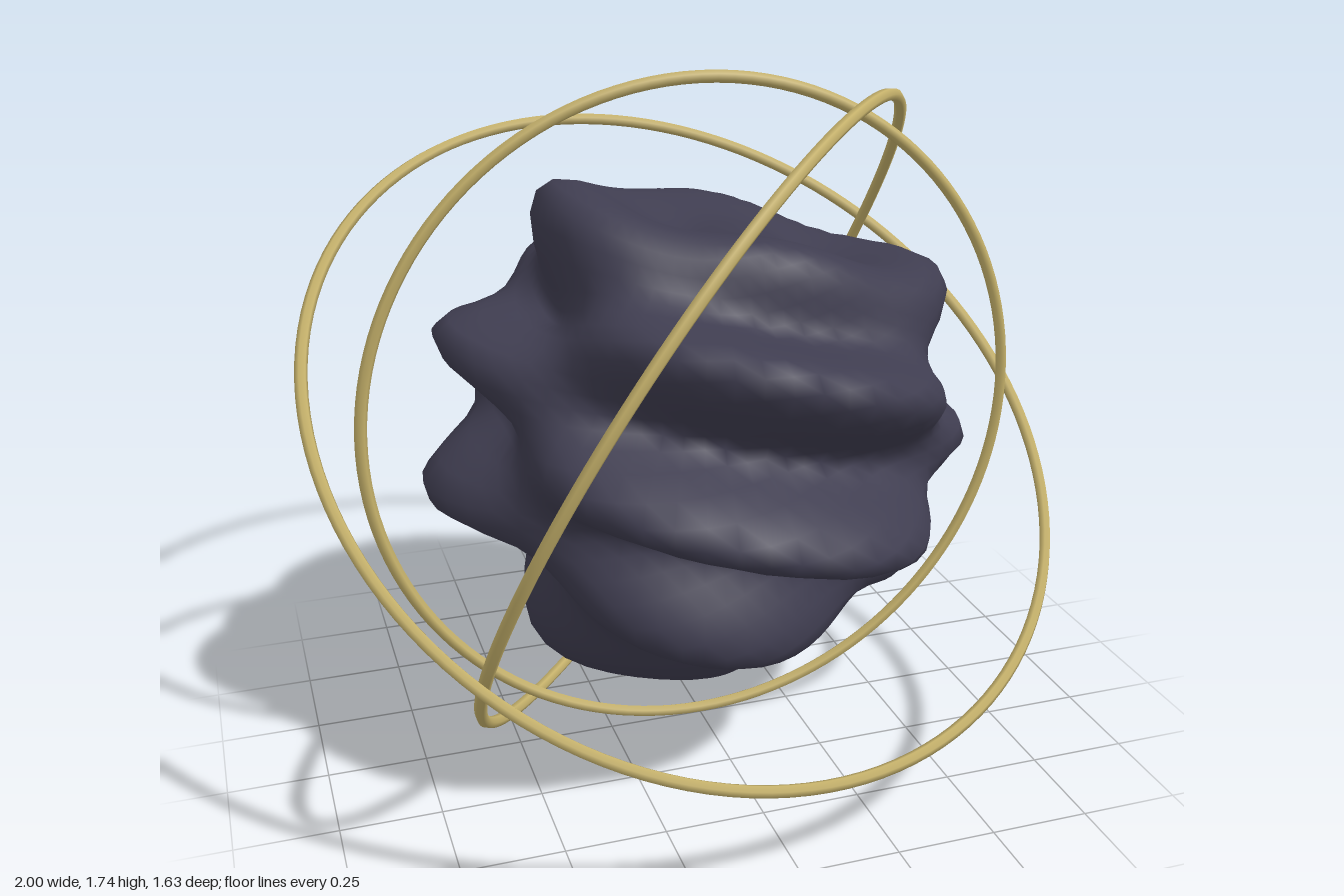
import * as THREE from 'three';
import { mergeVertices } from 'three/addons/utils/BufferGeometryUtils.js';

const CENTRE_Y = 0.868;

// Sphere pushed in and out by slanted waves that flip phase towards +z and -z
function rippledCore(material) {
  const sphere = new THREE.SphereGeometry(1, 64, 48);
  sphere.deleteAttribute('uv');
  sphere.deleteAttribute('normal');
  const geometry = mergeVertices(sphere, 1e-4);
  const position = geometry.attributes.position;
  const v = new THREE.Vector3();
  for (let i = 0; i < position.count; i++) {
    v.fromBufferAttribute(position, i).normalize();
    const wave = Math.sin(3 * v.x + 11.1 * v.y) * Math.cos(3.1 * v.z);
    v.multiplyScalar(0.602 + 0.12 * wave);
    position.setXYZ(i, v.x, v.y, v.z);
  }
  geometry.computeVertexNormals();
  const mesh = new THREE.Mesh(geometry, material);
  mesh.name = 'rippledCore';
  return mesh;
}

// Thin ring whose axis points along the given direction
function ring(name, radius, axis, material) {
  const mesh = new THREE.Mesh(new THREE.TorusGeometry(radius, 0.0155, 6, 128), material);
  mesh.name = name;
  mesh.quaternion.setFromUnitVectors(
    new THREE.Vector3(0, 0, 1),
    new THREE.Vector3(...axis).normalize()
  );
  return mesh;
}

export function createModel() {
  const darkSlate = new THREE.MeshStandardMaterial({ color: 0x3f3d50 });
  darkSlate.name = 'darkSlate';
  const paleGold = new THREE.MeshStandardMaterial({ color: 0xc4b06a });
  paleGold.name = 'paleGold';

  const model = new THREE.Group();
  model.name = 'ringedCore';

  const body = new THREE.Group();
  body.name = 'coreAndRings';
  body.position.y = CENTRE_Y;
  body.add(
    rippledCore(darkSlate),
    ring('innerRing', 0.853, [0, 0, 1], paleGold),
    ring('middleRing', 0.929, [-0.688, 0.461, -0.56], paleGold),
    ring('outerRing', 1.003, [0.19, 0.778, 0.6], paleGold)
  );
  model.add(body);
  return model;
}
